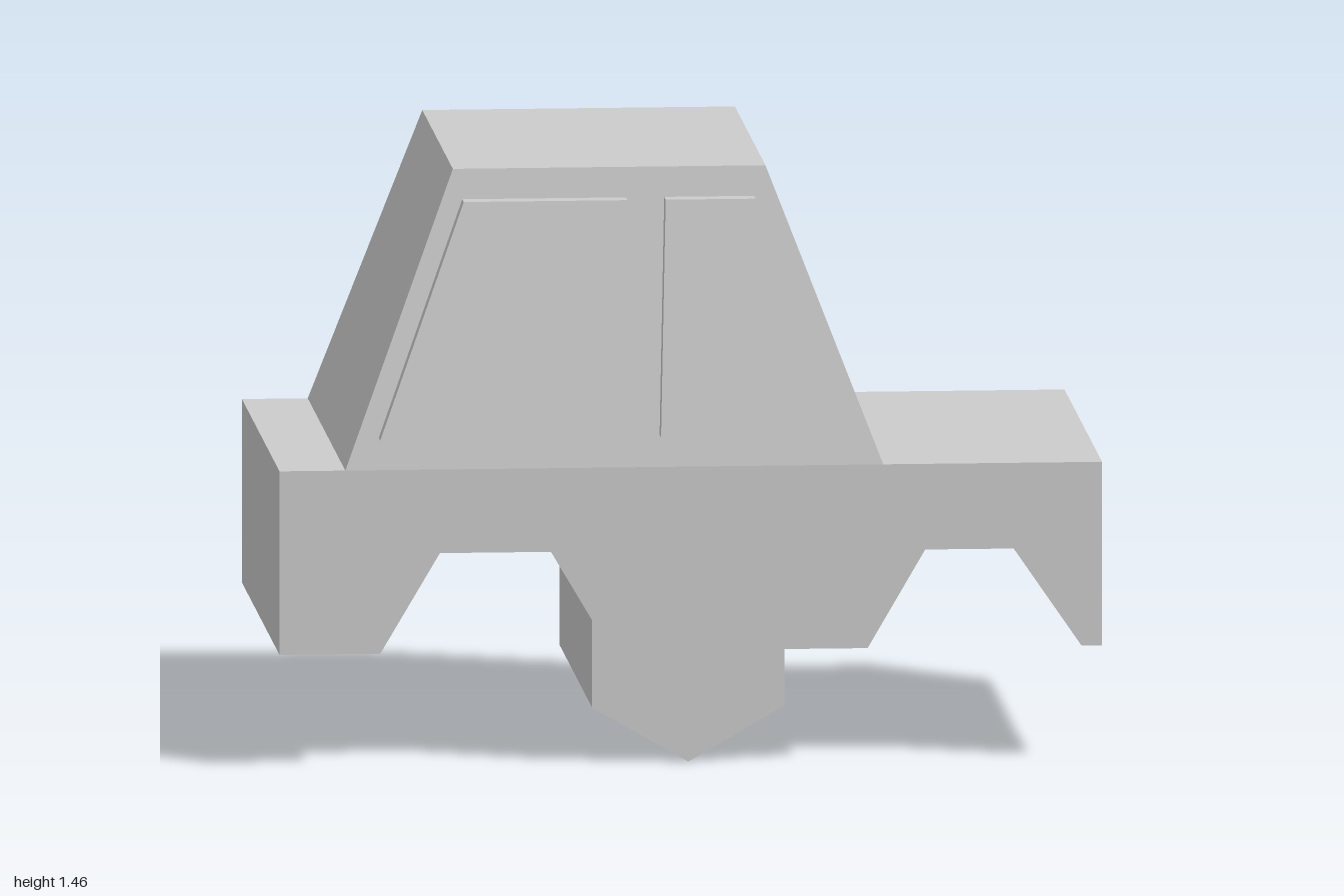
import * as THREE from 'three';

const material = new THREE.MeshStandardMaterial({ color: 0xcccccc, flatShading: true });

// Half width of the cabin, tapering towards the roof
const cabinHalfWidth = (y) => THREE.MathUtils.mapLinear(y, 0.735, 1.455, 0.588, 0.478);

// Side outline extruded along z, centred, with an optional rule that moves z
function slab(name, outline, depth, moveZ) {
  const shape = new THREE.Shape(outline.map(([x, y]) => new THREE.Vector2(x, y)));
  const geometry = new THREE.ExtrudeGeometry(shape, { depth, bevelEnabled: false });
  geometry.translate(0, 0, -depth / 2);
  if (moveZ) {
    const p = geometry.attributes.position;
    for (let i = 0; i < p.count; i++) p.setZ(i, moveZ(p.getY(i), p.getZ(i)));
  }
  geometry.computeVertexNormals();
  const mesh = new THREE.Mesh(geometry, material);
  mesh.name = name;
  return mesh;
}

export function createModel() {
  const car = new THREE.Group();
  car.name = 'car';

  // Lower body with two angular wheel arches
  car.add(slab('body', [
    [-1, 0.285], [-0.755, 0.285], [-0.61, 0.53], [-0.34, 0.53], [-0.195, 0.285],
    [0.43, 0.285], [0.57, 0.525], [0.785, 0.525], [0.95, 0.285], [1, 0.285],
    [1, 0.735], [-1, 0.735],
  ], 1.176));

  // Tapered cabin
  car.add(slab('cabin',
    [[-0.84, 0.735], [0.468, 0.735], [0.19, 1.455], [-0.57, 1.455]],
    2, (y, z) => z * cabinHalfWidth(y)));

  // Raised window panels leaning with both cabin sides
  const windows = {
    wideWindow: [[-0.758, 0.812], [-0.18, 0.812], [-0.15, 1.382], [-0.548, 1.382]],
    narrowWindow: [[-0.075, 0.812], [0.372, 0.812], [0.162, 1.382], [-0.057, 1.382]],
  };
  for (const [name, outline] of Object.entries(windows)) {
    for (const side of [1, -1]) {
      car.add(slab(name + (side > 0 ? 'Front' : 'Back'), outline, 0.092,
        (y, z) => z + side * cabinHalfWidth(y)));
    }
  }

  // Six-sided roller under the middle, one corner pointing down
  const roller = new THREE.Mesh(new THREE.CylinderGeometry(0.27, 0.27, 1.02, 6), material);
  roller.name = 'roller';
  roller.rotation.x = Math.PI / 2;
  roller.position.y = 0.27;
  car.add(roller);

  return car;
}
